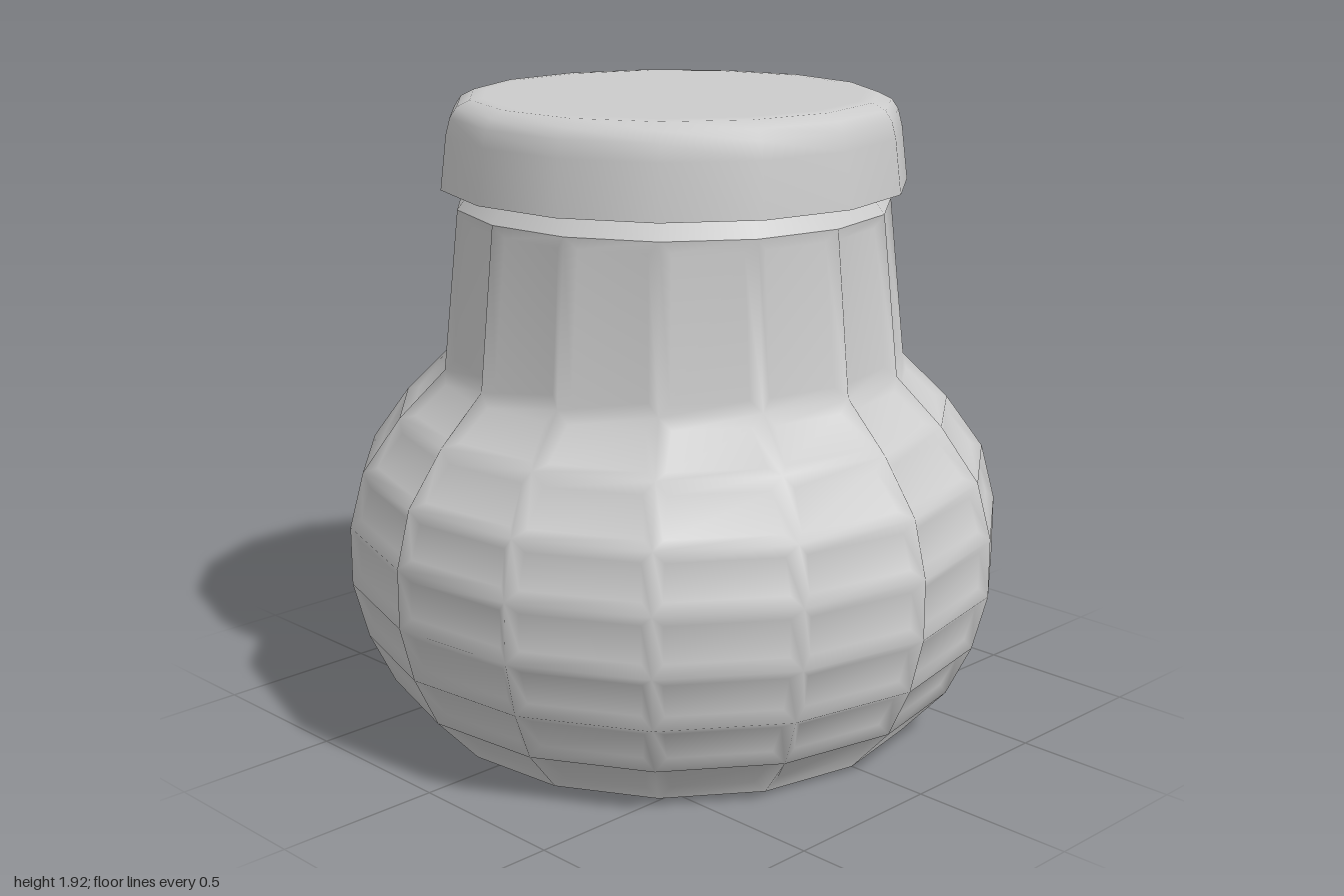
import * as THREE from 'three';
import { mergeVertices } from 'three/addons/utils/BufferGeometryUtils.js';

const SIDES = 15;
const material = new THREE.MeshStandardMaterial({ color: 0xcccccc });

// Jar outline, from base to mouth: [corner radius, height]
const OUTLINE = [
  [0.75, 0], [0.885, 0.145], [0.96, 0.3], [1.004, 0.47], [1.004, 0.65],
  [0.96, 0.82], [0.845, 0.98], [0.705, 1.12], [0.655, 1.6],
];

const corner = (ring, side) => {
  const [r, y] = OUTLINE[ring];
  const a = (side % SIDES) * 2 * Math.PI / SIDES;
  return new THREE.Vector3(r * Math.cos(a), y, -r * Math.sin(a));
};

// Each facet is a slightly sunken panel framed by ridges
function panelledWall(border, depth) {
  const positions = [];
  const quad = (a, b, c, d) => {
    for (const p of [a, b, c, a, c, d]) positions.push(p.x, p.y, p.z);
  };
  for (let ring = 0; ring < OUTLINE.length - 1; ring++) {
    for (let side = 0; side < SIDES; side++) {
      const outer = [
        corner(ring, side), corner(ring, side + 1),
        corner(ring + 1, side + 1), corner(ring + 1, side),
      ];
      const across = outer[1].clone().sub(outer[0]).normalize();
      const up = outer[3].clone().add(outer[2]).sub(outer[0]).sub(outer[1]).normalize();
      const normal = across.clone().cross(up).normalize();
      const inner = outer.map((p, i) => p.clone()
        .addScaledVector(across, i === 0 || i === 3 ? border : -border)
        .addScaledVector(up, i < 2 ? border : -border)
        .addScaledVector(normal, -depth));
      for (let i = 0; i < 4; i++) {
        const j = (i + 1) % 4;
        quad(outer[i], outer[j], inner[j], inner[i]);
      }
      quad(...inner);
    }
  }
  const geometry = new THREE.BufferGeometry();
  geometry.setAttribute('position', new THREE.Float32BufferAttribute(positions, 3));
  const smooth = mergeVertices(geometry, 1e-4);
  smooth.computeVertexNormals();
  return smooth;
}

// Turned part with a corner on +x
const turned = (points) => new THREE.LatheGeometry(
  points.map(([r, y]) => new THREE.Vector2(r, y)), SIDES, Math.PI / 2);

export function createModel() {
  const jar = new THREE.Group();
  jar.name = 'jar';
  const add = (name, geometry) => {
    const mesh = new THREE.Mesh(geometry, material);
    mesh.name = name;
    jar.add(mesh);
  };

  // Glass body
  add('panelledBody', panelledWall(0.035, 0.018));
  add('base', turned([[0, 0], [0.75, 0]]));
  add('mouth', turned([[0.655, 1.6], [0.61, 1.66]]));

  // Lid with a rounded top edge
  add('lid', turned([
    [0.702, 1.66], [0.683, 1.82], [0.67, 1.87], [0.65, 1.9],
    [0.61, 1.92], [0.57, 1.922], [0, 1.922],
  ]));
  add('lidUnderside', turned([[0, 1.66], [0.702, 1.66]]));

  // An odd number of sides is not symmetric in x, so centre its width
  for (const part of jar.children) part.position.x = -0.011;
  return jar;
}
